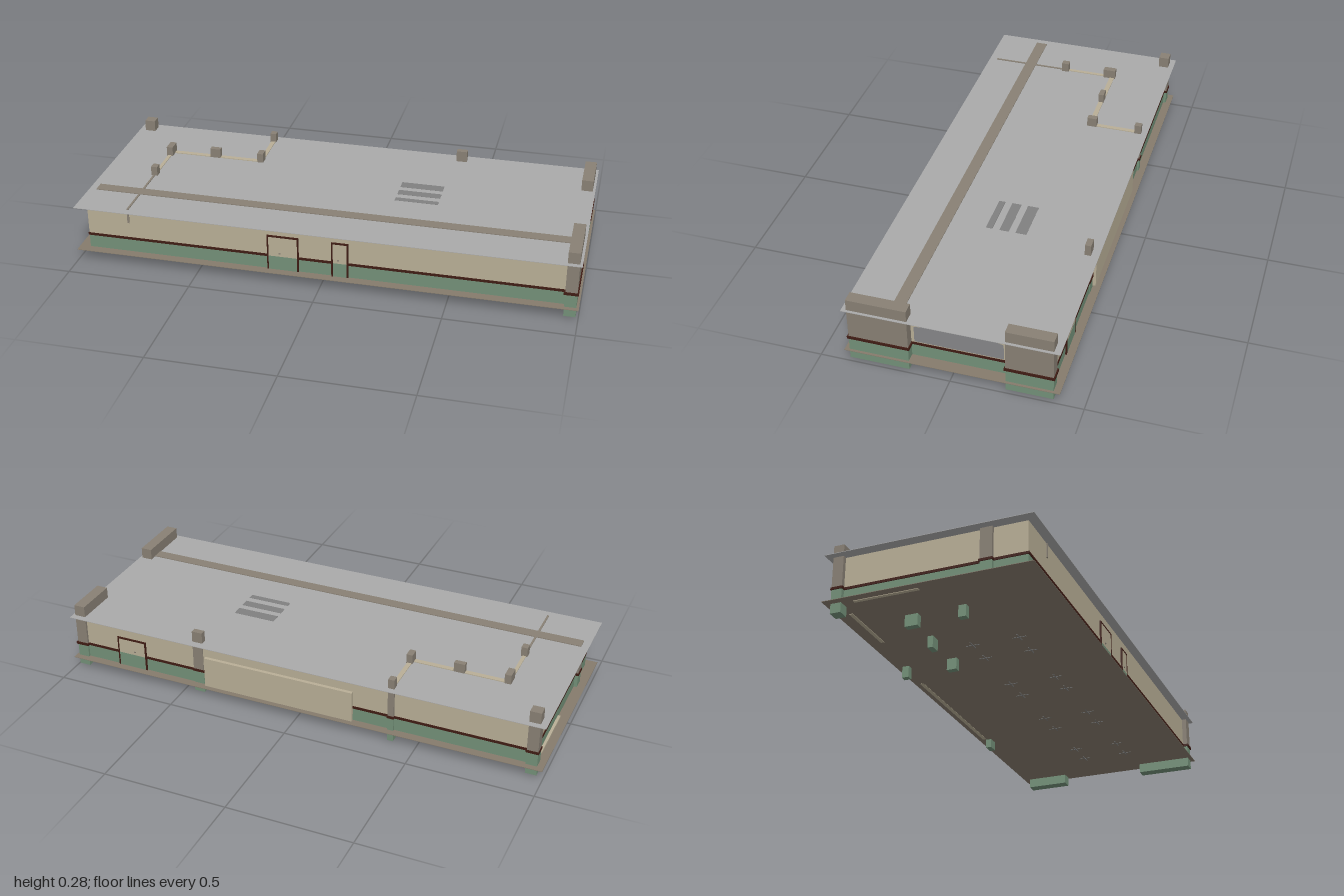
import * as THREE from 'three';

const mat = (color) => new THREE.MeshStandardMaterial({ color, side: THREE.DoubleSide });

export function createModel() {
  const root = new THREE.Group();
  const beige = mat(0xb8ae96), green = mat(0x739078), red = mat(0x3f1c14), stone = mat(0x888074);
  const roofGrey = mat(0xaaaaaa), glass = mat(0x858688), floorMat = mat(0x857b6c), patch = mat(0x808080);

  // Box given by its minimum and maximum corners
  function box(name, material, x0, x1, y0, y1, z0, z1, parent = root) {
    const m = new THREE.Mesh(new THREE.BoxGeometry(x1 - x0, y1 - y0, z1 - z0), material);
    m.position.set((x0 + x1) / 2, (y0 + y1) / 2, (z0 + z1) / 2);
    m.name = name;
    parent.add(m);
    return m;
  }

  // Painted piece: green base, dark red trim, lighter upper part
  const SPLIT = 0.11;
  function painted(name, upper, x0, x1, y0, y1, z0, z1, trim = 0.003) {
    const g = new THREE.Group();
    g.name = name;
    box('lowerPart', green, x0, x1, y0, SPLIT, z0, z1, g);
    box('upperPart', upper, x0, x1, SPLIT, y1, z0, z1, g);
    box('trim', red, x0 - trim, x1 + trim, SPLIT - 0.005, SPLIT + 0.005, z0 - trim, z1 + trim, g);
    root.add(g);
  }

  // Floor and roof slabs
  box('floor', floorMat, -1, 1, 0.049, 0.051, -0.41, 0.405);
  box('roof', roofGrey, -1, 1, 0.238, 0.24, -0.41, 0.405);

  // Outer walls
  const Y0 = 0.05, Y1 = 0.239;
  painted('frontWall', beige, -0.957, 0.95, Y0, Y1, 0.362, 0.368);
  painted('backWall', beige, -0.957, 0.95, Y0, Y1, -0.376, -0.37);
  painted('leftEndWall', beige, -0.957, -0.951, Y0, Y1, -0.372, 0.365);
  painted('rightEndWall', beige, 0.947, 0.953, Y0, Y1, -0.372, 0.365);

  // Inner walls whose tops rise through the roof
  painted('longInnerWall', stone, -0.97, 0.945, Y0, 0.243, 0.19, 0.237);
  painted('innerWallA', beige, -0.792, -0.778, Y0, 0.243, -0.15, 0.045);
  painted('innerWallB', beige, -0.785, -0.393, Y0, 0.243, -0.175, -0.155);
  painted('innerWallC', beige, -0.402, -0.384, Y0, 0.243, -0.37, -0.165);
  box('hangingBeam', stone, -0.789, -0.781, 0.18, 0.243, 0.04, 0.372);

  // Large end pillars
  for (const [z0, z1] of [[0.158, 0.387], [-0.385, -0.207]])
    painted('endPillar', stone, 0.944, 0.99, 0.01, 0.286, z0, z1, 0.005);

  // Small posts: centre x, centre z, width, depth, bottom, top
  const posts = [
    [-0.952, -0.366, 0.044, 0.042, 0.01, 0.286],
    [0.431, -0.367, 0.044, 0.024, 0.012, 0.286],
    [-0.784, -0.153, 0.026, 0.052, 0.002, 0.279],
    [-0.784, 0.049, 0.026, 0.031, 0.002, 0.279],
    [-0.59, -0.165, 0.044, 0.022, 0.002, 0.279],
    [-0.393, -0.172, 0.025, 0.04, 0.002, 0.279],
    [-0.393, -0.37, 0.025, 0.028, 0.002, 0.279],
  ];
  for (const [x, z, w, d, y0, y1] of posts)
    painted('post', stone, x - w / 2, x + w / 2, y0, y1, z - d / 2, z + d / 2);

  // Door frames with handles; dir points out of the wall
  function door(name, x0, x1, top, z, dir) {
    const g = new THREE.Group();
    g.name = name;
    const t = 0.006, za = z - 0.003, zb = z + 0.003;
    box('jamb', red, x0, x0 + t, Y0, top, za, zb, g);
    box('jamb', red, x1 - t, x1, Y0, top, za, zb, g);
    box('lintel', red, x0, x1, top - t, top, za, zb, g);
    box('upperLeaf', beige, x0 + t, x1 - t, SPLIT, top - t, z - 0.002, z + 0.002 + dir * 0.002, g);
    box('lowerLeaf', green, x0 + t, x1 - t, Y0, SPLIT, z - 0.002, z + 0.002 + dir * 0.002, g);
    const hx = x0 + (x1 - x0) * 0.4;
    box('handle', stone, hx - 0.004, hx + 0.004, 0.122, 0.127, z - 0.005, z + 0.005, g);
    root.add(g);
  }
  door('wideFrontDoor', -0.215, -0.088, 0.2, 0.371, 0);
  door('narrowFrontDoor', 0.043, 0.11, 0.2, 0.371, 0);
  door('backDoor', 0.67, 0.8, 0.18, -0.379, 0);

  // Wide gate panel on the back
  box('gatePanel', beige, -0.235, 0.4, 0.048, 0.18, -0.39, -0.374);

  // Arched window on the right end wall
  const arch = new THREE.Shape();
  arch.moveTo(-0.145, 0.122);
  arch.lineTo(0.192, 0.122);
  arch.lineTo(0.192, 0.19);
  arch.quadraticCurveTo(0.023, 0.234, -0.145, 0.19);
  arch.closePath();
  const win = new THREE.Mesh(new THREE.ShapeGeometry(arch, 10), glass);
  win.rotation.y = Math.PI / 2;
  win.position.x = 0.957;
  win.name = 'archedWindow';
  root.add(win);

  // Darker strips on the roof
  for (const [z0, z1] of [[-0.112, -0.068], [-0.042, -0.004], [0.024, 0.05]])
    box('roofStrip', patch, 0.225, 0.4, 0.239, 0.2405, z0, z1);

  // Ledges showing under the floor
  box('backLedge', beige, -0.88, -0.63, 0.047, 0.06, -0.362, -0.348);
  box('sideLedge', beige, -0.968, -0.954, 0.047, 0.06, -0.3, -0.045);

  // Crossed feet of the furniture, in pairs along two rows
  for (const z of [-0.05, 0.14])
    for (let i = 0; i < 4; i++)
      for (const dx of [0, -0.12]) {
        const x = 0.78 - i * 0.38 + dx;
        const g = new THREE.Group();
        g.name = 'crossedFeet';
        box('foot', patch, -0.027, 0.027, 0.0475, 0.052, -0.002, 0.002, g);
        box('foot', patch, -0.002, 0.002, 0.0475, 0.052, -0.027, 0.027, g);
        g.position.set(x, 0, z);
        root.add(g);
      }
  return root;
}
